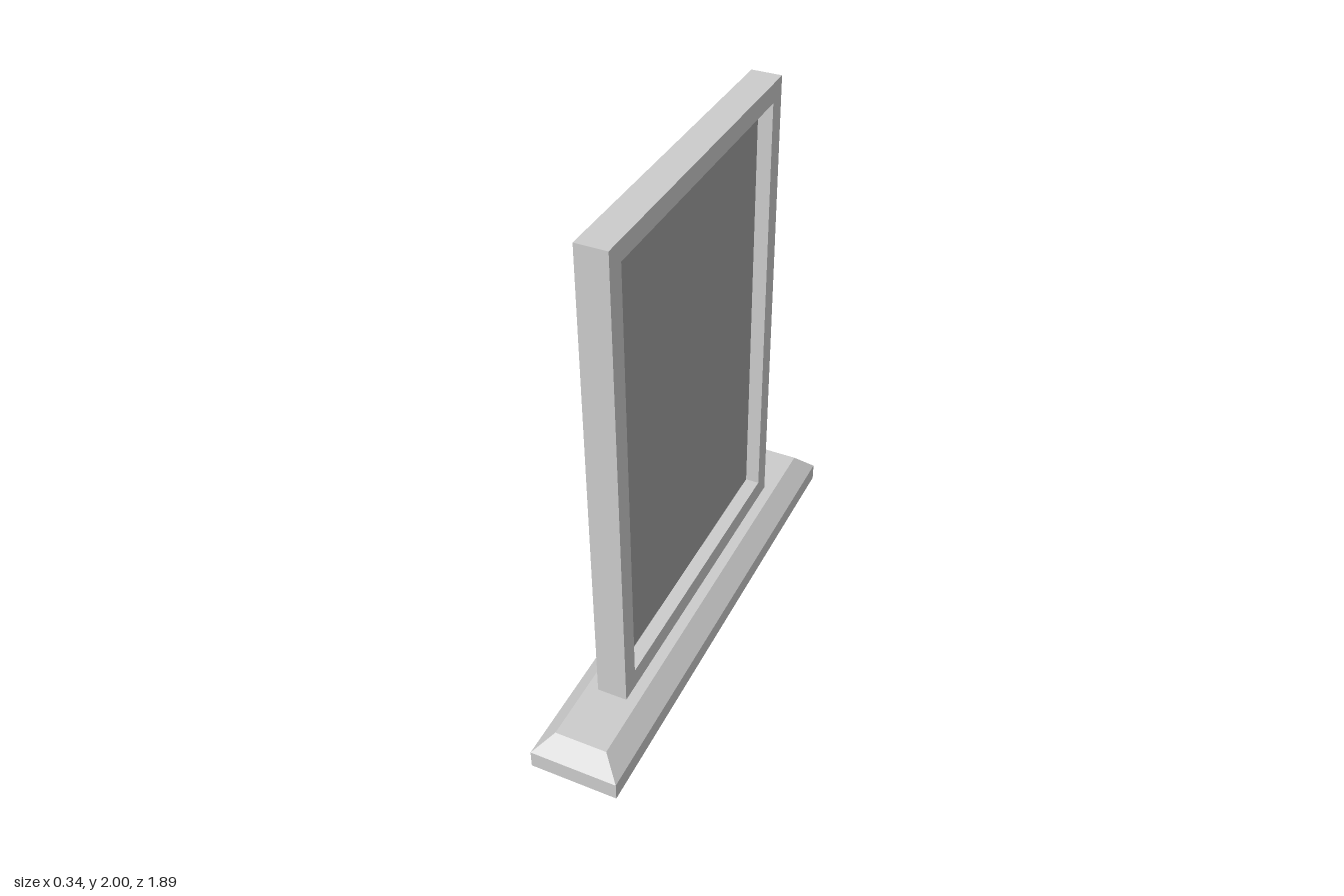
import * as THREE from 'three';

const frameGrey = new THREE.MeshStandardMaterial({ color: 0xcccccc });
frameGrey.name = 'light grey';
const panelGrey = new THREE.MeshStandardMaterial({ color: 0xa2a2a2 });
panelGrey.name = 'panel grey';

const BASE_TOP = 0.14, TOP = 2, HALF_W = 0.643, HALF_T = 0.057;
const OPEN_W = 0.571, OPEN_BOTTOM = 0.22, OPEN_TOP = 1.927;

function addMesh(group, name, geometry, material, x, y, z) {
  const mesh = new THREE.Mesh(geometry, material);
  mesh.name = name;
  mesh.position.set(x, y, z);
  group.add(mesh);
  return mesh;
}

function rectangle(PathType, halfW, y0, y1) {
  return new PathType([[-halfW, y0], [halfW, y0], [halfW, y1], [-halfW, y1]]
    .map(([x, y]) => new THREE.Vector2(x, y)));
}

// Box whose upper half tapers inward on all four sides
function createBaseGeometry() {
  const box = new THREE.BoxGeometry(2, BASE_TOP, 2, 1, 2, 1).toNonIndexed();
  const p = box.attributes.position;
  for (let i = 0; i < p.count; i++) {
    const top = p.getY(i) > 0.01;
    p.setX(i, p.getX(i) * (top ? 0.1 : 0.168));
    p.setZ(i, p.getZ(i) * (top ? 0.88 : 0.945));
  }
  box.computeVertexNormals();
  return box;
}

export function createModel() {
  const group = new THREE.Group();
  group.name = 'standingDisplayBoard';

  addMesh(group, 'base', createBaseGeometry(), frameGrey, 0, BASE_TOP / 2, 0);

  // Solid rear half of the board
  const height = TOP - BASE_TOP;
  addMesh(group, 'backBoard', new THREE.BoxGeometry(HALF_T, height, HALF_W * 2),
    frameGrey, -HALF_T / 2, BASE_TOP + height / 2, 0);

  // Open border around the recess, facing +x
  const outline = rectangle(THREE.Shape, HALF_W, BASE_TOP, TOP);
  outline.holes.push(rectangle(THREE.Path, OPEN_W, OPEN_BOTTOM, OPEN_TOP));
  const border = new THREE.ExtrudeGeometry(outline, { depth: HALF_T, bevelEnabled: false });
  border.rotateY(Math.PI / 2);
  addMesh(group, 'frame', border, frameGrey, 0, 0, 0);

  // Darker panel at the bottom of the recess
  addMesh(group, 'panel', new THREE.BoxGeometry(0.004, OPEN_TOP - OPEN_BOTTOM, OPEN_W * 2),
    panelGrey, 0, (OPEN_TOP + OPEN_BOTTOM) / 2, 0);

  return group;
}
